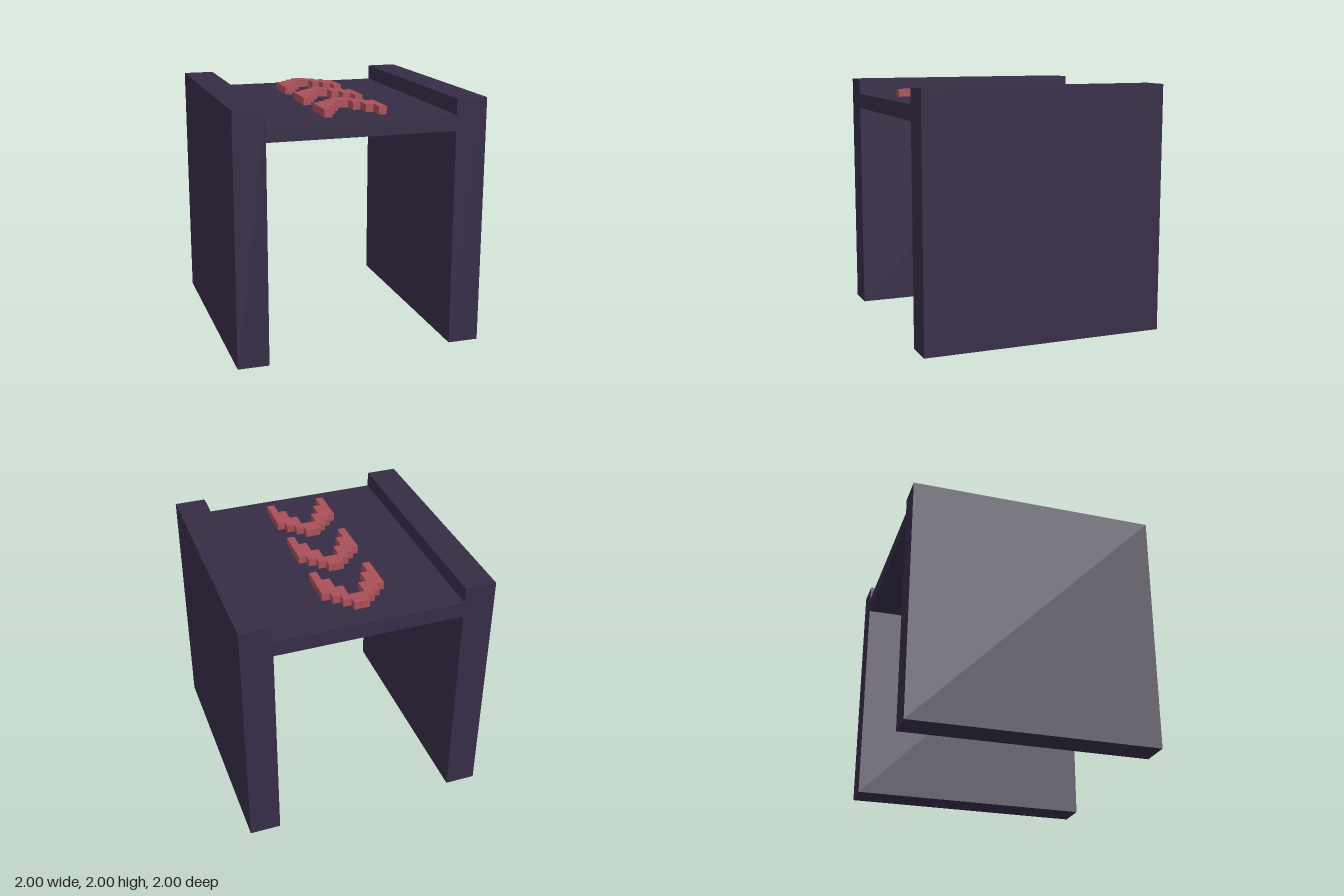
import * as THREE from 'three';

const U = 1 / 16; // building grid unit

export function createModel() {
  const model = new THREE.Group();
  model.name = 'arrowGate';

  const darkPurple = new THREE.MeshStandardMaterial({ color: 0x362d46 });
  darkPurple.name = 'dark purple';
  const dustyRed = new THREE.MeshStandardMaterial({ color: 0xa85058 });
  dustyRed.name = 'dusty red';

  function add(name, geometry, material, x, y, z) {
    const mesh = new THREE.Mesh(geometry, material);
    mesh.name = name;
    mesh.position.set(x, y, z);
    model.add(mesh);
  }

  // Side walls rising just above the deck
  const wall = new THREE.BoxGeometry(4 * U, 2, 2);
  add('leftWall', wall, darkPurple, 14 * U, 1, 0);
  add('rightWall', wall, darkPurple, -14 * U, 1, 0);

  // Deck spanning between the walls
  add('deck', new THREE.BoxGeometry(24 * U, 2 * U, 2), darkPurple, 0, 29 * U, 0);

  // Stepped chevron: half outline in grid units, apex at y = 0, mirrored
  const half = [
    [1, 0], [1, -1], [2, -1], [2, -2], [3, -2], [3, -3], [4, -3], [4, -8],
    [3, -8], [3, -6], [2, -6], [2, -4], [1, -4], [1, -2],
  ];
  const outline = [...half, ...half.map(([x, y]) => [-x, y]).reverse()];
  const shape = new THREE.Shape(outline.map(([x, y]) => new THREE.Vector2(x * U, y * U)));
  const chevron = new THREE.ExtrudeGeometry(shape, { depth: U, bevelEnabled: false });
  chevron.rotateX(-Math.PI / 2);

  // Three raised chevrons pointing to the back
  for (let i = 0; i < 3; i++) {
    add(`chevron${i + 1}`, chevron, dustyRed, 0, 30 * U, (-13 + 9 * i) * U);
  }

  return model;
}
